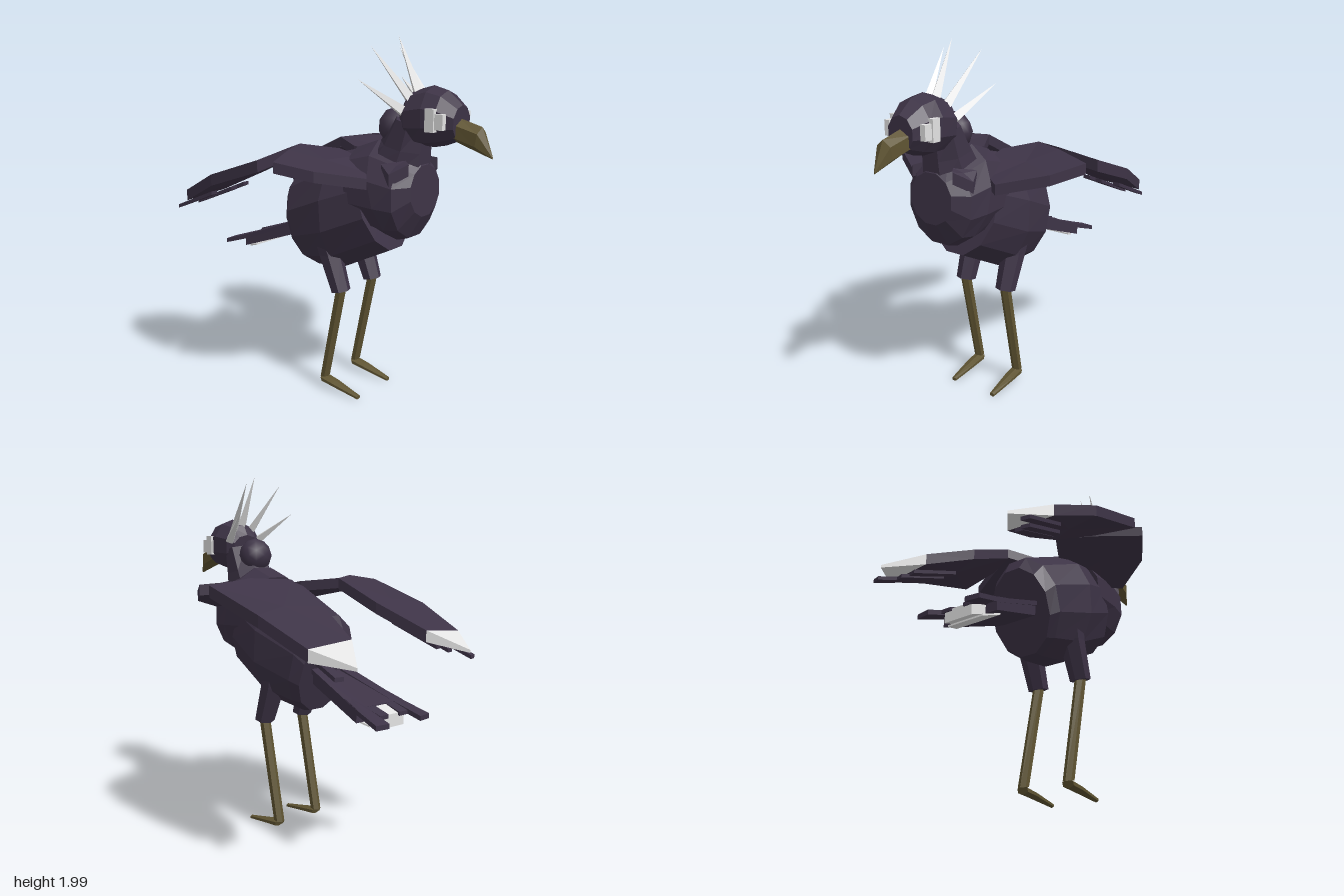
import * as THREE from 'three';

const dark = new THREE.MeshStandardMaterial({ color: 0x3d3346 });
dark.name = 'plumage';
const pale = new THREE.MeshStandardMaterial({ color: 0xe2e2e2 });
pale.name = 'paleFeather';
const horn = new THREE.MeshStandardMaterial({ color: 0x5f5432 });
horn.name = 'hornOlive';

const V = (x, y, z) => new THREE.Vector3(x, y, z);

// Faceted closed skin over a list of rings; turned outward by its signed volume.
function loft(name, rings, mat) {
  const tris = [];
  const n = rings[0].length;
  for (let r = 0; r < rings.length - 1; r++) {
    for (let i = 0; i < n; i++) {
      const j = (i + 1) % n;
      const [a, b, c, d] = [rings[r][i], rings[r][j], rings[r + 1][j], rings[r + 1][i]];
      tris.push([a, b, c], [a, c, d]);
    }
  }
  const cap = (ring, flip) => {
    const mid = ring.reduce((s, p) => s.add(p), V(0, 0, 0)).divideScalar(n);
    ring.forEach((p, i) => {
      const q = ring[(i + 1) % n];
      tris.push(flip ? [mid, q, p] : [mid, p, q]);
    });
  };
  cap(rings[0], true);
  cap(rings[rings.length - 1], false);
  const volume = tris.reduce((s, [a, b, c]) => s + a.dot(b.clone().cross(c)), 0);
  if (volume < 0) tris.forEach((t) => t.reverse());
  const geo = new THREE.BufferGeometry().setFromPoints(tris.flat());
  geo.computeVertexNormals();
  const mesh = new THREE.Mesh(geo, mat);
  mesh.name = name;
  return mesh;
}

// Elliptical ring spanning two points on the x = cx plane, [y, z] each, with half width w.
function ring([ty, tz], [by, bz], w, n = 12, cx = 0) {
  const angles = Array.from({ length: n }, (_, i) => ((i + 0.5) / n) * Math.PI * 2);
  const kx = w / Math.max(...angles.map((a) => Math.abs(Math.cos(a))));
  const ky = 0.5 / Math.max(...angles.map((a) => Math.abs(Math.sin(a))));
  return angles.map((a) => {
    const s = Math.sin(a) * ky;
    return V(cx + Math.cos(a) * kx, (ty + by) / 2 + (ty - by) * s, (tz + bz) / 2 + (tz - bz) * s);
  });
}

// Plate with a polygonal top and a thickness (one value, or one per corner).
function slab(name, pts, t, mat, s = 1) {
  const top = pts.map(([x, y, z]) => V(x * s, y, z));
  const bottom = top.map((p, i) => V(p.x, p.y - (Array.isArray(t) ? t[i] : t), p.z));
  return loft(name, [top, bottom], mat);
}

// Slender pointed feather from base to tip.
function spike(base, tip, r) {
  const dir = tip.clone().sub(base);
  const geo = new THREE.ConeGeometry(r, dir.length(), 4).toNonIndexed();
  geo.computeVertexNormals();
  const mesh = new THREE.Mesh(geo, pale);
  mesh.position.copy(base).addScaledVector(dir, 0.5);
  mesh.quaternion.setFromUnitVectors(V(0, 1, 0), dir.normalize());
  mesh.name = 'crestSpike';
  return mesh;
}

function box(name, w, h, d, x, y, z, mat) {
  const mesh = new THREE.Mesh(new THREE.BoxGeometry(w, h, d), mat);
  mesh.position.set(x, y, z);
  mesh.name = name;
  return mesh;
}

export function createModel() {
  const bird = new THREE.Group();
  bird.name = 'bird';

  // Trunk: rounded breast tucked into a larger rear shell
  bird.add(loft('breast', [
    ring([1.36, 0.51], [1.10, 0.52], 0.13),
    ring([1.42, 0.44], [0.98, 0.455], 0.2),
    ring([1.47, 0.26], [0.96, 0.39], 0.22),
    ring([1.42, 0.12], [1.0, 0.2], 0.22),
  ], dark));
  bird.add(loft('rearBody', [
    ring([1.42, 0.17], [0.89, 0.34], 0.21),
    ring([1.38, 0.0], [0.74, 0.04], 0.255),
    ring([1.23, -0.31], [0.71, -0.16], 0.215),
    ring([1.15, -0.355], [0.715, -0.2], 0.18),
  ], dark));

  // Neck with the hump behind it
  bird.add(loft('neck', [
    ring([1.56, 0.52], [1.60, 0.36], 0.11, 8),
    ring([1.42, 0.51], [1.47, 0.27], 0.12, 8),
    ring([1.28, 0.50], [1.38, 0.17], 0.14, 8),
  ], dark));
  const hump = new THREE.Mesh(new THREE.IcosahedronGeometry(1, 1), dark);
  hump.scale.set(0.1, 0.1, 0.09);
  hump.position.set(0, 1.54, 0.33);
  hump.name = 'neckHump';
  bird.add(hump);

  // Head and hooked beak
  bird.add(loft('head', [
    ring([1.67, 0.71], [1.50, 0.705], 0.075, 10),
    ring([1.735, 0.63], [1.47, 0.63], 0.115, 10),
    ring([1.755, 0.55], [1.455, 0.56], 0.125, 10),
    ring([1.725, 0.44], [1.46, 0.46], 0.12, 10),
    ring([1.66, 0.405], [1.52, 0.42], 0.09, 10),
  ], dark));
  bird.add(loft('beak', [
    ring([1.61, 0.69], [1.49, 0.69], 0.052, 6),
    ring([1.575, 0.82], [1.455, 0.80], 0.042, 6),
    ring([1.44, 0.88], [1.43, 0.878], 0.004, 6),
  ], horn));

  // Crest centre spike
  bird.add(spike(V(0, 1.69, 0.47), V(0, 1.99, 0.33), 0.032));

  for (const s of [1, -1]) {
    const side = s > 0 ? 'left' : 'right';

    // Crest, eyes and breast tufts
    bird.add(spike(V(0.06 * s, 1.68, 0.46), V(0.12 * s, 1.94, 0.25), 0.03));
    bird.add(spike(V(0.1 * s, 1.63, 0.44), V(0.185 * s, 1.78, 0.22), 0.03));
    bird.add(box(side + 'Eye', 0.03, 0.075, 0.1, 0.112 * s, 1.595, 0.63, pale));
    bird.add(box(side + 'EyePatch', 0.035, 0.11, 0.05, 0.117 * s, 1.6, 0.61, pale));
    bird.add(slab('breastTuft', [[0.1, 1.39, 0.46], [0.13, 1.38, 0.5], [0.2, 1.33, 0.43], [0.17, 1.37, 0.36]],
      0.06, dark, s));

    // Wing: shoulder plate, long flight plate, pale tip, stray quills
    const wing = new THREE.Group();
    wing.name = side + 'Wing';
    wing.add(slab('shoulder', [
      [0.17, 1.42, -0.19], [0.06, 1.4, 0.0], [0.08, 1.38, 0.15], [0.18, 1.32, 0.28],
      [0.27, 1.31, 0.35], [0.49, 1.36, 0.2], [0.59, 1.4, 0.03], [0.36, 1.42, -0.09],
    ], 0.055, dark, s));
    wing.add(slab('flightFeathers', [
      [0.17, 1.42, -0.19], [0.36, 1.43, -0.09], [0.6, 1.4, -0.07], [0.59, 1.28, -0.44],
      [0.54, 1.15, -0.72], [0.27, 1.17, -0.72], [0.19, 1.3, -0.45],
    ], 0.06, dark, s));
    wing.add(slab('wingTip', [[0.27, 1.17, -0.72], [0.54, 1.15, -0.72], [0.41, 1.075, -0.89]],
      [0.06, 0.06, 0.015], pale, s));
    for (const [x, y, z] of [[0.48, 1.03, -0.86], [0.41, 1.06, -0.77], [0.35, 1.08, -0.74]]) {
      wing.add(slab('quill', [
        [x - 0.04, y + 0.12, z + 0.28], [x, y + 0.12, z + 0.28], [x + 0.025, y + 0.01, z + 0.01], [x - 0.02, y + 0.01, z],
      ], 0.02, dark, s));
    }
    bird.add(wing);

    // Outer tail feather
    bird.add(slab('tailFeather', [
      [0.05, 0.96, -0.29], [0.12, 0.96, -0.29], [0.165, 0.83, -0.62], [0.195, 0.77, -0.81], [0.115, 0.77, -0.82], [0.1, 0.82, -0.66],
    ], 0.025, dark, s));
    bird.add(slab('tailBarb', [
      [0.04, 0.825, -0.64], [0.1, 0.825, -0.64], [0.1, 0.79, -0.75], [0.04, 0.79, -0.75],
    ], 0.02, dark, s));

    // Leg: feathered thigh, shank and single-toed foot
    const leg = new THREE.Group();
    leg.name = side + 'Leg';
    const cx = 0.14 * s;
    leg.add(loft('thigh', [
      ring([0.92, 0.04], [0.92, -0.09], 0.07, 6, cx),
      ring([0.83, 0.065], [0.82, -0.06], 0.06, 6, cx),
      ring([0.635, 0.125], [0.615, 0.025], 0.05, 6, cx),
    ], dark));
    leg.add(loft('shank', [
      ring([0.65, 0.11], [0.64, 0.045], 0.026, 6, cx),
      ring([0.075, -0.02], [0.065, -0.075], 0.026, 6, cx),
    ], horn));
    leg.add(loft('foot', [
      ring([0.075, -0.06], [0.035, -0.045], 0.032, 6, cx),
      ring([0.06, 0.03], [0.028, 0.03], 0.03, 6, cx),
      ring([0.025, 0.2], [0.002, 0.2], 0.014, 6, cx),
    ], horn));
    bird.add(leg);
  }

  // Tail wedge with a pale end and underside band
  bird.add(slab('tail', [
    [-0.11, 0.95, -0.29], [0.11, 0.95, -0.29], [0.17, 0.82, -0.66], [-0.17, 0.82, -0.66],
  ], 0.07, dark));
  bird.add(slab('tailEnd', [
    [-0.1, 0.815, -0.66], [0.1, 0.815, -0.66], [0.085, 0.785, -0.74], [-0.085, 0.785, -0.74],
  ], 0.065, pale));
  bird.add(slab('tailUnderside', [
    [-0.14, 0.765, -0.6], [0.14, 0.765, -0.6], [0.11, 0.735, -0.69], [-0.11, 0.735, -0.69],
  ], 0.009, pale));
  return bird;
}
